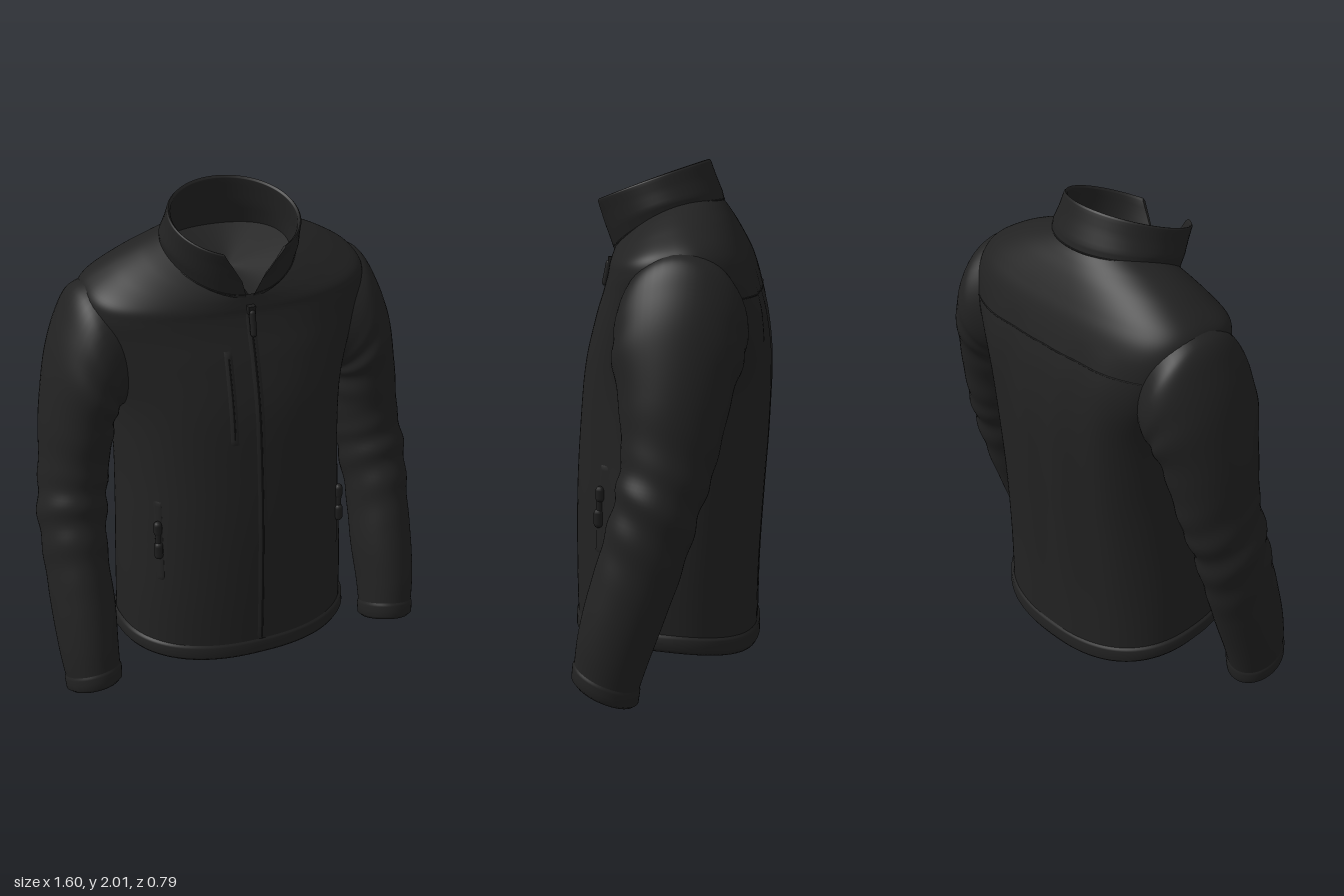
import * as THREE from 'three';

const cloth = new THREE.MeshStandardMaterial({ color: 0x222222, side: THREE.DoubleSide });
cloth.name = 'black cloth';
const trim = new THREE.MeshStandardMaterial({ color: 0x1d1d1d, side: THREE.DoubleSide });
trim.name = 'zip black';

// Smooth (or straight) interpolation through a list of cross-sections, v = 0..1
function sample(rings, v, smooth = true) {
  const n = rings.length - 1, f = Math.min(Math.max(v, 0), 1) * n;
  const i = Math.min(Math.floor(f), n - 1), t = f - i;
  const p0 = rings[Math.max(i - 1, 0)], p1 = rings[i], p2 = rings[i + 1], p3 = rings[Math.min(i + 2, n)];
  return p1.map((b, k) => {
    const a = p0[k], c = p2[k], d = p3[k];
    if (!smooth) return b + (c - b) * t;
    return b + 0.5 * t * (c - a + t * (2 * a - 5 * b + 4 * c - d + t * (3 * (b - c) + d - a)));
  });
}

// Surface from fn(u, v); closed joins the last column to the first
function surface(name, material, fn, nu, nv, closed) {
  const cols = closed ? nu : nu + 1, pos = [], index = [];
  for (let j = 0; j <= nv; j++)
    for (let i = 0; i < cols; i++) pos.push(...fn(i / nu, j / nv));
  for (let j = 0; j < nv; j++)
    for (let i = 0; i < nu; i++) {
      const a = j * cols + i, b = j * cols + (i + 1) % cols, c = a + cols, d = b + cols;
      index.push(a, c, b, b, c, d);
    }
  const g = new THREE.BufferGeometry();
  g.setAttribute('position', new THREE.Float32BufferAttribute(pos, 3));
  g.setIndex(index);
  g.computeVertexNormals();
  const mesh = new THREE.Mesh(g, material);
  mesh.name = name;
  return mesh;
}

// Torso sections: half width, front z, back z, front y, side y, back y, front and back roundness
const torso = [
  [.472, .385, -.346, .19, .195, .135, 2.4, 2.4],
  [.468, .388, -.35, .42, .42, .4, 2.4, 2.4],
  [.455, .385, -.365, .7, .7, .7, 2.4, 2.5],
  [.445, .37, -.38, .95, .95, .95, 2.5, 2.7],
  [.455, .345, -.388, 1.2, 1.2, 1.2, 2.6, 3],
  [.51, .3, -.373, 1.39, 1.39, 1.39, 2.6, 3.4],
  [.55, .265, -.345, 1.5, 1.51, 1.52, 2.6, 3.5],
  [.57, .245, -.315, 1.57, 1.6, 1.62, 2.6, 3.3],
  [.55, .24, -.285, 1.605, 1.672, 1.69, 2.5, 2.8],
  [.45, .236, -.25, 1.63, 1.738, 1.76, 2.3, 2.4],
  [.345, .234, -.22, 1.645, 1.785, 1.81, 2.1, 2.1],
  [.262, .232, -.195, 1.655, 1.81, 1.845, 2, 2]];
const hem = [
  [.462, .375, -.335, .16, .165, .1, 2.4, 2.4],
  [.478, .386, -.347, .135, .14, .072, 2.4, 2.4],
  [.489, .392, -.355, .15, .155, .087, 2.4, 2.4],
  [.487, .391, -.354, .19, .195, .135, 2.4, 2.4],
  [.474, .385, -.346, .202, .207, .147, 2.4, 2.4]];

function onRing([hw, zf, zb, yf, ys, yb, nf, nb], cos, sin) {
  const n = sin < 0 ? nb : nf, s = Math.sign(sin) * Math.abs(sin) ** (2 / n);
  return [hw * Math.sign(cos) * Math.abs(cos) ** (2 / n),
    ys + s * (yf - yb) / 2 + s * s * ((yf + yb) / 2 - ys),
    (zf + zb) / 2 + s * (zf - zb) / 2];
}

// Torso point with soft drape folds down the back
function torsoPoint(u, v) {
  const a = u * Math.PI * 2, p = onRing(sample(torso, v), Math.cos(a), Math.sin(a));
  const drape = Math.sin(Math.min(v / .6, 1) * Math.PI) * Math.max(0, -Math.sin(a));
  p[2] -= .007 * drape * Math.cos(Math.abs(p[0]) * 26 - 3 + p[1]);
  return p;
}

// Point on the torso front (side 1) or back (side -1) at a given x and y
function torsoAt(x, y, side) {
  let lo = 0, hi = 1, p;
  for (let k = 0; k < 26; k++) {
    const v = (lo + hi) / 2, r = sample(torso, v);
    const cos = Math.sign(x) * Math.min(1, Math.abs(x) / r[0]) ** (r[side > 0 ? 6 : 7] / 2);
    p = torsoPoint(Math.atan2(side * Math.sqrt(1 - cos * cos), cos) / (Math.PI * 2), v);
    if (p[1] < y) lo = v; else hi = v;
  }
  return p;
}

// Thin raised strip laid on the torso front
function strip(name, material, x0, x1, y0, y1, lift) {
  return surface(name, material, (u, v) => {
    const p = torsoAt(x0 + (x1 - x0) * u, y0 + (y1 - y0) * v, 1);
    const edge = u === 0 || u === 1 || v === 0 || v === 1;
    return [p[0], p[1], p[2] + (edge ? -.002 : lift)];
  }, 4, 30, false);
}

function seam(name, points) {
  const curve = new THREE.CatmullRomCurve3(points.map(p => new THREE.Vector3(...p)));
  const mesh = new THREE.Mesh(new THREE.TubeGeometry(curve, 40, .003, 6), cloth);
  mesh.name = name;
  return mesh;
}

// Sleeve sections: outer x, y, inner x, y, centre z, half depth, tilt
const sleeve = [
  [.5, 1.69, .4, 1.17, -.07, .22, 0],
  [.59, 1.65, .425, 1.17, -.075, .243, 0],
  [.65, 1.55, .45, 1.16, -.07, .246, 0],
  [.705, 1.4, .468, 1.12, -.06, .235, 0],
  [.75, 1.17, .48, 1.03, -.052, .2, 0],
  [.77, .95, .502, .9, -.035, .175, .1],
  [.797, .76, .525, .76, .004, .157, .2],
  [.795, .55, .545, .57, .06, .15, .3],
  [.793, .35, .542, .37, .125, .143, .35],
  [.785, .2, .55, .22, .17, .132, .4],
  [.772, .09, .553, .115, .195, .122, .4]];
const cuff = [
  [.772, .1, .553, .125, .193, .122, .4],
  [.777, .085, .547, .11, .196, .127, .4],
  [.773, .04, .549, .062, .202, .126, .4],
  [.755, .026, .565, .046, .203, .112, .4],
  [.662, .035, .66, .037, .2, .001, .4]];

function sleevePoint(rings, u, v, smooth, side) {
  const [ox, oy, ix, iy, cz, rz, tilt] = sample(rings, v, smooth);
  const a = u * Math.PI * 2, c = Math.cos(a), s = Math.sin(a);
  // Creases gather around the elbow and the armpit
  const fold = smooth ? .006 * Math.exp(-(((v - .6) / .1) ** 2)) * Math.sin(v * 75 + 2.5 * s + c)
    + .006 * Math.exp(-(((v - .3) / .12) ** 2)) * Math.sin(v * 50 - 2 * c) * (1 - c) / 2 : 0;
  const k = 1 + fold / .15;
  return [side * ((ox + ix) / 2 + c * k * (ox - ix) / 2),
    (oy + iy) / 2 + c * (oy - iy) / 2 + s * tilt * rz,
    cz + s * rz * k];
}

// Collar profile: half width, front z, back z, front y, side y, back y, front gap
const collar = [
  [.266, .236, -.2, 1.645, 1.795, 1.84, .05],
  [.272, .262, -.192, 1.72, 1.83, 1.875, .15],
  [.262, .288, -.165, 1.785, 1.875, 1.94, .33],
  [.256, .312, -.146, 1.83, 1.918, 1.992, .48],
  [.25, .311, -.139, 1.838, 1.924, 2, .52],
  [.242, .3, -.132, 1.83, 1.915, 1.99, .5],
  [.25, .262, -.15, 1.74, 1.83, 1.88, .22],
  [.25, .222, -.18, 1.63, 1.76, 1.79, .05]];

function collarPoint(u, v) {
  const r = sample(collar, v, false);
  const a = r[6] + u * (Math.PI * 2 - 2 * r[6]);
  return onRing([...r.slice(0, 6), 2, 2], Math.sin(a), Math.cos(a));
}

export function createModel() {
  const group = new THREE.Group();
  group.name = 'jacket';

  group.add(surface('torso', cloth, torsoPoint, 120, 88, true));
  group.add(surface('hemBand', cloth, (u, v) =>
    onRing(sample(hem, v, false), Math.cos(u * Math.PI * 2), Math.sin(u * Math.PI * 2)), 120, 8, true));
  group.add(surface('collar', cloth, collarPoint, 72, 28, false));

  // Sagging lining that closes the neck
  group.add(surface('neckLining', cloth, (u, v) => {
    const p = collarPoint(u, 1), r = 1 - v;
    return [p[0] * r, 1.69 + (p[1] - 1.69) * r, .02 + (p[2] - .02) * r];
  }, 72, 8, false));

  // Collar front edges, closing the thickness, and base seam
  for (const u of [0, 1]) {
    group.add(surface('collarEdge', cloth, (s, t) => {
      const a = collarPoint(u, t * 4 / 7), b = collarPoint(u, 1 - t * 3 / 7);
      return a.map((q, k) => q + (b[k] - q) * s);
    }, 1, 16, false));
  }
  group.add(seam('collarSeam', Array.from({ length: 25 }, (_, i) => collarPoint(i / 24, .02))));

  // Sleeves, cuffs and side pockets
  for (const side of [1, -1]) {
    group.add(surface('sleeve', cloth, (u, v) => sleevePoint(sleeve, u, v, true, side), 48, 110, true));
    group.add(surface('cuff', cloth, (u, v) => sleevePoint(cuff, u, v, false, side), 48, 8, true));
    group.add(strip('sidePocketWelt', cloth, side * .372, side * .398, .5, .85, .005));
    const pull = new THREE.Group();
    pull.name = 'pocketZipPull';
    for (const [y, h, r] of [[.735, .03, .017], [.69, .045, .012], [.64, .04, .018]]) {
      const p = torsoAt(side * .385, y, 1);
      const bead = new THREE.Mesh(new THREE.CapsuleGeometry(r, h, 4, 10), trim);
      bead.position.set(p[0] + side * .006, y, p[2] + .008);
      pull.add(bead);
    }
    group.add(pull);
  }

  // Front zip with its flaps, and the chest pocket
  group.add(strip('zipPlacket', cloth, -.022, .022, .17, 1.63, .004));
  group.add(strip('zipTeeth', trim, -.005, .005, .17, 1.63, .006));
  group.add(strip('chestPocket', cloth, -.125, -.088, 1.09, 1.46, .005));
  group.add(strip('chestPocketZip', trim, -.11, -.103, 1.11, 1.44, .007));

  // Main zip pull
  const puller = new THREE.Mesh(new THREE.CapsuleGeometry(.013, .08, 4, 10), trim);
  puller.name = 'zipPull';
  puller.position.set(0, 1.55, .268);
  puller.rotation.x = -.2;
  group.add(puller);
  const slider = new THREE.Mesh(new THREE.BoxGeometry(.03, .03, .025), trim);
  slider.name = 'zipSlider';
  slider.position.set(0, 1.6, .25);
  group.add(slider);

  // Yoke seam across the back
  group.add(seam('backYokeSeam', Array.from({ length: 17 }, (_, i) => torsoAt(-.46 + i * .0575, 1.5, -1))));

  return group;
}
